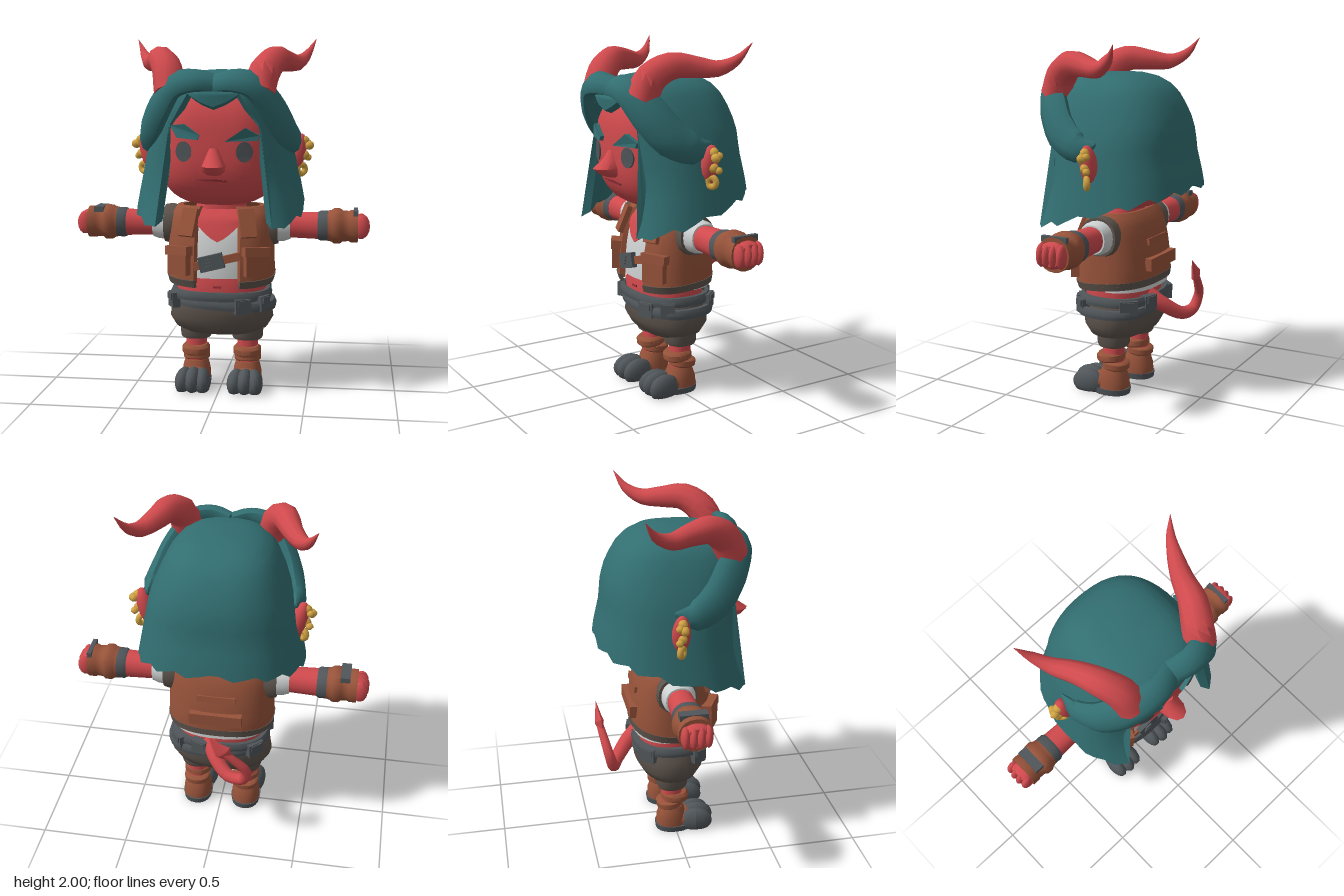
import * as THREE from 'three';
import { toCreasedNormals } from 'three/addons/utils/BufferGeometryUtils.js';

const mat = (name, color) => new THREE.MeshStandardMaterial({ name, color });
const V = (x, y, z) => new THREE.Vector3(x, y, z);
const pw = (v, e) => Math.sign(v) * Math.abs(v) ** e;
const { degToRad: rad, lerp } = THREE.MathUtils;

// Skin a row of equal-length closed cross-sections; winding is turned outward by volume.
function loft(sections, caps = true) {
  const tris = [], m = sections[0].length, last = sections.length - 1;
  for (let i = 0; i < last; i++) for (let j = 0; j < m; j++) {
    const k = (j + 1) % m, [p, q] = [sections[i], sections[i + 1]];
    tris.push([p[j], q[j], q[k]], [p[j], q[k], p[k]]);
  }
  if (caps) for (let j = 0; j < m / 2 - 1; j++) {
    const a = sections[0], b = sections[last], k = m - 1 - j;
    tris.push([a[j], a[j + 1], a[k - 1]], [a[j], a[k - 1], a[k]]);
    tris.push([b[j], b[k - 1], b[j + 1]], [b[j], b[k], b[k - 1]]);
  }
  const c = V(0, 0, 0);
  sections.forEach(s => s.forEach(p => c.addScaledVector(p, 1 / (m * sections.length))));
  let vol = 0;
  for (const [p, q, r] of tris) vol += p.clone().sub(c).dot(q.clone().sub(c).cross(r.clone().sub(c)));
  if (vol < 0) tris.forEach(t => t.reverse());
  return toCreasedNormals(new THREE.BufferGeometry().setFromPoints(tris.flat()), 0.75);
}

// Stack of rounded rings: rows are [y, rx, rz, z offset].
function barrel(rows, n = 20) {
  return loft(rows.map(([y, rx, rz = rx, cz = 0]) => Array.from({ length: n }, (_, i) => {
    const a = i / n * Math.PI * 2;
    return V(rx * pw(Math.sin(a), 0.9), y, cz + rz * pw(Math.cos(a), 0.9));
  })));
}

// Linear lookup in a table whose first column falls.
function look(table, y) {
  let i = 0;
  while (i < table.length - 2 && table[i + 1][0] > y) i++;
  const a = table[i], b = table[i + 1], t = THREE.MathUtils.clamp((a[0] - y) / (a[0] - b[0]), 0, 1);
  return a.map((v, k) => lerp(v, b[k], t));
}

// Thick garment wall around the y axis: table rows are [y, rx, front rz, back rz].
function shell(table, angles, hem, { k = 0.92, ky = 1, cy = 0, n = 10, caps = true, knee } = {}) {
  const top = table[0][0];
  return loft(angles.map(deg => {
    const a = rad(deg), outer = [], low = hem(deg), mid = knee ?? (top + low) / 2;
    for (let i = 0; i <= n; i++) {
      const t = 2 * i / n, y = t <= 1 ? lerp(top, mid, t * t) : lerp(mid, low, t - 1);
      const [, rx, rf, rb] = look(table, y), c = Math.cos(a);
      outer.push(V(rx * pw(Math.sin(a), 0.8), y, (c > 0 ? rf : rb) * pw(c, 0.8)));
    }
    const inner = outer.map(p => V(p.x * k, cy + (p.y - cy) * ky, p.z * k)).reverse();
    return [...outer, ...inner];
  }), caps);
}

// Tapered sweep: half width across, half thickness along the direction away from the centre.
function sweep(pts, widths, thick, centre, n = 10, steps = 18) {
  const curve = new THREE.CatmullRomCurve3(pts);
  return loft(Array.from({ length: steps + 1 }, (_, i) => {
    const t = i / steps, f = t * (widths.length - 1), w0 = Math.min(Math.floor(f), widths.length - 2);
    const w = lerp(widths[w0], widths[w0 + 1], f - w0);
    const p = curve.getPoint(t), tan = curve.getTangent(t);
    const out = p.clone().sub(centre), across = tan.clone().cross(out).normalize();
    out.crossVectors(across, tan).normalize();
    return Array.from({ length: n }, (_, j) => {
      const a = j / n * Math.PI * 2;
      return p.clone().addScaledVector(across, w * Math.cos(a)).addScaledVector(out, w * thick * Math.sin(a));
    });
  }));
}

const range = (a, b, step) => Array.from({ length: Math.round((b - a) / step) + 1 }, (_, i) => a + i * step);

// Rounded block head and its front surface
const H = { x: 0.35, y: 0.355, z: 0.343, cy: 1.425, e: 0.7 };
function faceZ(x, y) {
  const p = 2 / H.e, r = 1 - Math.abs(x / H.x) ** p - Math.abs((y - H.cy) / H.y) ** p;
  return H.z * Math.max(r, 0) ** (1 / p);
}
function facePlate(pts, depth) {
  const shape = new THREE.Shape(pts.map(([x, y]) => new THREE.Vector2(x, y)));
  const g = new THREE.ExtrudeGeometry(shape, { depth, bevelEnabled: false }), p = g.attributes.position;
  for (let i = 0; i < p.count; i++) p.setZ(i, p.getZ(i) + faceZ(p.getX(i), p.getY(i)));
  g.computeVertexNormals();
  return g;
}

export function createModel() {
  const root = new THREE.Group();
  const skin = mat('red skin', 0xd04a4d), hair = mat('teal hair', 0x326e71), leather = mat('brown leather', 0x97533a);
  const grey = mat('dark grey', 0x50565a), cloth = mat('grey brown cloth', 0x5e544d), white = mat('white shirt', 0xcfd2d2);
  const gold = mat('gold', 0xd2a443), lip = mat('dark red', 0x993238);
  const add = (name, geo, m, x = 0, y = 0, z = 0, rx = 0, ry = 0, rz = 0, parent = root) => {
    const mesh = new THREE.Mesh(geo, m);
    mesh.name = name;
    mesh.position.set(x, y, z);
    mesh.rotation.set(rx, ry, rz);
    parent.add(mesh);
    return mesh;
  };
  const box = (w, h, d) => new THREE.BoxGeometry(w, h, d);
  const ball = (x, y, z, n = 14) => new THREE.SphereGeometry(1, n, Math.ceil(n * 0.7)).scale(x, y, z);

  // Head and face
  const headGeo = new THREE.SphereGeometry(1, 36, 26), hp = headGeo.attributes.position;
  for (let i = 0; i < hp.count; i++)
    hp.setXYZ(i, H.x * pw(hp.getX(i), H.e), H.y * pw(hp.getY(i), H.e), H.z * pw(hp.getZ(i), H.e));
  headGeo.computeVertexNormals();
  add('head', headGeo, skin, 0, H.cy, 0);
  add('nose', barrel([[1.41, 0.025, 0.03, 0.325], [1.36, 0.047, 0.062, 0.325], [1.315, 0.065, 0.12, 0.33], [1.285, 0.06, 0.085, 0.33], [1.265, 0.035, 0.04, 0.325]], 12), skin);
  add('leftBrow', facePlate([[0.063, 1.447], [0.235, 1.45], [0.243, 1.478], [0.17, 1.52]], 0.025), hair);
  add('rightBrow', facePlate([[-0.238, 1.53], [-0.2, 1.465], [-0.085, 1.455], [-0.075, 1.48], [-0.16, 1.538]], 0.025), hair);
  add('mouth', facePlate([[-0.12, 1.24], [-0.03, 1.222], [0.07, 1.225], [0.075, 1.235], [0, 1.243]], 0.009), lip);
  for (const s of [1, -1]) {
    const oval = range(0, 345, 15).map(a => [s * 0.165 + 0.044 * Math.cos(rad(a)), 1.39 + 0.055 * Math.sin(rad(a))]);
    add('eye', facePlate(oval, 0.009), grey);
    add('ear', ball(0.048, 0.12, 0.05), skin, s * 0.425, 1.355, -0.02, 0, 0, -s * 0.25);
    add('earLobe', ball(0.03, 0.05, 0.035), skin, s * 0.415, 1.25, -0.015);
    // Ear jewellery
    for (const [x, y] of [[0.46, 1.43], [0.458, 1.35]]) {
      add('earStud', ball(0.038, 0.03, 0.028, 8), gold, s * x, y, -0.02);
      add('earBead', ball(0.022, 0.02, 0.022, 7), gold, s * (x + 0.03), y - 0.015, -0.04);
    }
    add('earTip', ball(0.03, 0.026, 0.026, 7), gold, s * 0.495, 1.405, -0.015);
    add('earRing', new THREE.TorusGeometry(0.026, 0.018, 7, 14), gold, s * 0.45, 1.27, -0.02, 0, 0.6 * s, 0);
    // Horns
    add('horn', sweep([V(s * 0.24, 1.71, 0.29), V(s * 0.265, 1.82, 0.24), V(s * 0.315, 1.88, 0.15), V(s * 0.36, 1.875, 0.04),
      V(s * 0.42, 1.865, -0.07), V(s * 0.47, 1.91, -0.16), V(s * 0.52, 2, -0.22)],
    [0.09, 0.085, 0.075, 0.06, 0.045, 0.026, 0.001], 1, V(0, 1.3, 0)), skin);
    // Swept fringe
    add('fringe', sweep([V(0, 1.755, 0.32), V(s * 0.1, 1.77, 0.35), V(s * 0.21, 1.745, 0.335), V(s * 0.3, 1.63, 0.27),
      V(s * 0.365, 1.51, 0.18), V(s * 0.405, 1.45, 0.06), V(s * 0.41, 1.47, -0.05)],
    [0.065, 0.075, 0.088, 0.105, 0.105, 0.085, 0.01], 0.6, V(0, 1.4, 0)), hair);
  }

  // Long hair: short over the face, long at the sides, jagged hem behind
  const hairTable = [[1.83, 0.0005, 0.0005, 0.0005], [1.822, 0.12, 0.16, 0.11], [1.8, 0.2, 0.26, 0.18], [1.76, 0.26, 0.34, 0.25],
    [1.7, 0.305, 0.38, 0.305], [1.6, 0.35, 0.375, 0.355], [1.5, 0.39, 0.355, 0.38], [1.4, 0.412, 0.345, 0.385],
    [1.25, 0.44, 0.34, 0.42], [1.1, 0.47, 0.375, 0.44], [0.95, 0.49, 0.45, 0.46]];
  const hairHem = deg => {
    const d = deg > 180 ? 360 - deg : deg;
    if (d < 36) return look([[0, 1.63], [-22, 1.7], [-36, 1.52]], -d)[1];
    const z = 0.42 * pw(Math.cos(rad(d)), 0.8);
    return 0.98 + (0.36 - z) * 0.285 + (d < 45 ? 0 : (Math.round(deg / 8) % 3 - 1) * 0.015);
  };
  const half = [0, 8, 16, 22, 29, 35.9, 36.1, 41, ...range(48, 176, 8)];
  add('hair', shell(hairTable, [...half, 180, ...half.map(a => 360 - a).reverse()], hairHem,
    { k: 0.89, ky: 0.93, cy: 1.4, n: 16, caps: false, knee: 1.71 }), hair);

  // Torso, shirt and open vest
  add('neck', barrel([[0.92, 0.2, 0.13], [1.04, 0.15, 0.11], [1.12, 0.13, 0.11]]), skin);
  add('waist', barrel([[0.54, 0.255, 0.19], [0.62, 0.26, 0.197], [0.7, 0.25, 0.18]]), skin);
  add('shirt', barrel([[0.67, 0.272, 0.212, -0.005], [0.78, 0.272, 0.205], [0.9, 0.265, 0.185], [1, 0.25, 0.15], [1.04, 0.2, 0.1]]), white);
  add('shirtTail', shell([[0.7, 0.275, 0.215, 0.22], [0.6, 0.28, 0.215, 0.225]], range(95, 265, 10), () => 0.627), white);
  const chest = [[1.05, 0.25, 0.115, 0.1], [1, 0.255, 0.16, 0.1], [0.9, 0.27, 0.193, 0.1], [0.8, 0.28, 0.212, 0.1]];
  add('chest', shell(chest, range(-30, 30, 5), d => 0.875 + Math.abs(d) * 0.0042, { k: 0.9 }), skin);
  const vest = [[1.065, 0.25, 0.12, 0.14], [1.02, 0.29, 0.165, 0.18], [0.9, 0.3, 0.21, 0.215], [0.75, 0.305, 0.228, 0.238], [0.62, 0.308, 0.228, 0.238]];
  const vestAngles = range(20, 340, 10);
  add('vest', shell(vest, vestAngles, d => 0.66 - 0.02 * Math.cos(rad(d)), { k: 0.88 }), leather);
  const trim = [[0.02, 0.312, 0.236, 0.243], [-0.025, 0.3, 0.226, 0.235]];
  add('vestHem', shell(trim, vestAngles, () => -0.022, { n: 2 }), cloth, 0, 0.658, 0, 0.09);
  for (const s of [1, -1]) {
    add('pocket', box(0.13, 0.13, 0.05), leather, s * 0.215, 0.755, 0.195, 0, s * 0.5);
    add('pocketFlap', box(0.15, 0.05, 0.066), leather, s * 0.215, 0.825, 0.19, -0.1, s * 0.5);
    add('collar', box(0.09, 0.16, 0.03), leather, s * 0.165, 0.98, 0.168, -0.4, s * 0.3, s * 0.15);
  }
  add('backPocket', box(0.3, 0.07, 0.04), leather, 0, 0.78, -0.235);
  add('backYoke', box(0.22, 0.035, 0.02), leather, 0, 0.9, -0.21, 0.15);
  add('chestStrap', box(0.27, 0.045, 0.02), leather, 0, 0.77, 0.21, 0, 0, 0.25);
  add('chestBuckle', box(0.14, 0.085, 0.03), grey, -0.03, 0.765, 0.222, 0, 0, 0.25);
  for (const i of [-1, 0, 1])
    add('buckleBar', box(0.04, 0.01, 0.012), grey, -0.045 + i * 0.005, 0.762 + i * 0.02, 0.24, 0, 0, 0.25);
  add('navel', box(0.045, 0.012, 0.008), lip, 0, 0.62, 0.197);

  // Shorts, belts and pouches
  add('shorts', barrel([[0.33, 0.2, 0.12], [0.36, 0.265, 0.165, -0.01], [0.42, 0.3, 0.198, -0.01], [0.5, 0.288, 0.2, -0.01], [0.57, 0.265, 0.195, -0.01]], 28), cloth);
  const belt = y => [[y + 0.025, 0.28, 0.211, 0.223], [y, 0.292, 0.22, 0.232], [y - 0.03, 0.288, 0.215, 0.227]];
  for (const [y, tilt] of [[0.565, 0], [0.515, 0.05]])
    add('belt', shell(belt(y), range(0, 360, 12), () => y - 0.025, { n: 4, caps: false }), grey, 0, 0, 0, 0, 0, -tilt);
  for (const [deg, w, y] of [[25, 0.09, 0.515], [58, 0.08, 0.525], [-62, 0.08, 0.53], [130, 0.1, 0.54], [-135, 0.1, 0.54], [165, 0.09, 0.55]]) {
    const a = rad(deg), x = 0.285 * pw(Math.sin(a), 0.8), z = 0.215 * pw(Math.cos(a), 0.8);
    add('pouch', box(w, 0.085, 0.045), grey, x, y, z, 0, a);
    add('pouchFlap', box(w * 0.75, 0.035, 0.06), grey, x, y + 0.02, z, 0, a);
  }

  // Tail curling round to a spade tip
  add('tail', sweep([V(0.04, 0.58, -0.17), V(0, 0.52, -0.25), V(-0.09, 0.455, -0.33), V(-0.18, 0.465, -0.36),
    V(-0.2, 0.55, -0.385), V(-0.14, 0.63, -0.405), V(-0.08, 0.69, -0.42)], [0.05, 0.045, 0.038, 0.033, 0.028, 0.024, 0.02], 1, V(-0.05, 0.6, -0.3), 10, 24), skin);
  add('tailTip', sweep([V(-0.12, 0.65, -0.41), V(-0.075, 0.7, -0.42), V(0, 0.8, -0.43)], [0.01, 0.05, 0.001], 0.5, V(0, 0.7, 0), 8), skin);

  for (const s of [1, -1]) {
    // Leg and foot
    const leg = new THREE.Group();
    leg.name = s > 0 ? 'leftLeg' : 'rightLeg';
    leg.position.set(s * 0.15, 0, -0.015);
    root.add(leg);
    const part = (name, g, m, ...p) => add(name, g, m, ...[...p, 0, 0, 0, 0, 0, 0].slice(0, 6), leg);
    part('trouserLeg', barrel([[0.285, 0.083], [0.3, 0.09], [0.35, 0.092], [0.42, 0.1]]), cloth);
    part('shin', barrel([[0.1, 0.06], [0.32, 0.06]]), skin);
    part('upperWrap', barrel([[0.19, 0.068], [0.2, 0.08], [0.23, 0.08], [0.245, 0.066]]), leather, 0, 0, 0, 0.08);
    part('lowerWrap', barrel([[0.145, 0.065], [0.155, 0.077], [0.185, 0.077], [0.195, 0.066]]), leather, 0, 0, 0, -0.08);
    part('boot', barrel([[0.03, 0.085, 0.092], [0.08, 0.083, 0.09], [0.12, 0.076], [0.15, 0.065]]), leather);
    part('instep', ball(0.08, 0.06, 0.07), leather, 0, 0.06, 0.07);
    part('sole', barrel([[0, 0.085, 0.11, 0.015], [0.035, 0.09, 0.115, 0.015]]), grey);
    for (const i of [-1, 0, 1]) {
      const g = ball(0.049, 0.077, 0.1), p = g.attributes.position;
      for (let k = 0; k < p.count; k++) p.setY(k, Math.max(p.getY(k), i ? -0.05 : -0.057));
      g.computeVertexNormals();
      part('toe', g, grey, i * 0.053, i ? 0.05 : 0.057, i ? 0.135 : 0.147, 0, i * 0.12);
    }

    // Arm held straight out, built upward and laid on its side
    const arm = new THREE.Group();
    arm.name = s > 0 ? 'leftArm' : 'rightArm';
    arm.position.set(0, 0.95, -0.015);
    arm.rotation.z = -s * Math.PI / 2;
    root.add(arm);
    const seg = (name, rows, m) => add(name, barrel(rows), m, 0, 0, 0, 0, 0, 0, arm);
    seg('armhole', [[0.25, 0.105], [0.29, 0.115], [0.325, 0.108]], cloth);
    seg('sleeve', [[0.26, 0.095], [0.36, 0.092], [0.395, 0.08]], white);
    seg('forearm', [[0.3, 0.068], [0.58, 0.078]], skin);
    seg('cuff', [[0.55, 0.078], [0.565, 0.086], [0.61, 0.086]], grey);
    seg('bracer', [[0.605, 0.086], [0.625, 0.09], [0.64, 0.1], [0.675, 0.1], [0.69, 0.088], [0.725, 0.086], [0.735, 0.092], [0.775, 0.092]], leather);
    seg('palm', [[0.75, 0.072, 0.078], [0.8, 0.068, 0.078], [0.815, 0.055, 0.06]], skin);
    for (const i of [-1.5, -0.5, 0.5, 1.5])
      add('finger', ball(0.065, 0.042, 0.024, 10), skin, 0, Math.abs(i) > 1 ? 0.793 : 0.8, i * 0.04, 0, 0, 0, arm);
    add('bracerPlate', box(0.03, s > 0 ? 0.025 : 0.055, 0.15), grey, -s * 0.08, s > 0 ? 0.762 : 0.707, 0, 0, 0, 0, arm);
  }
  return root;
}
